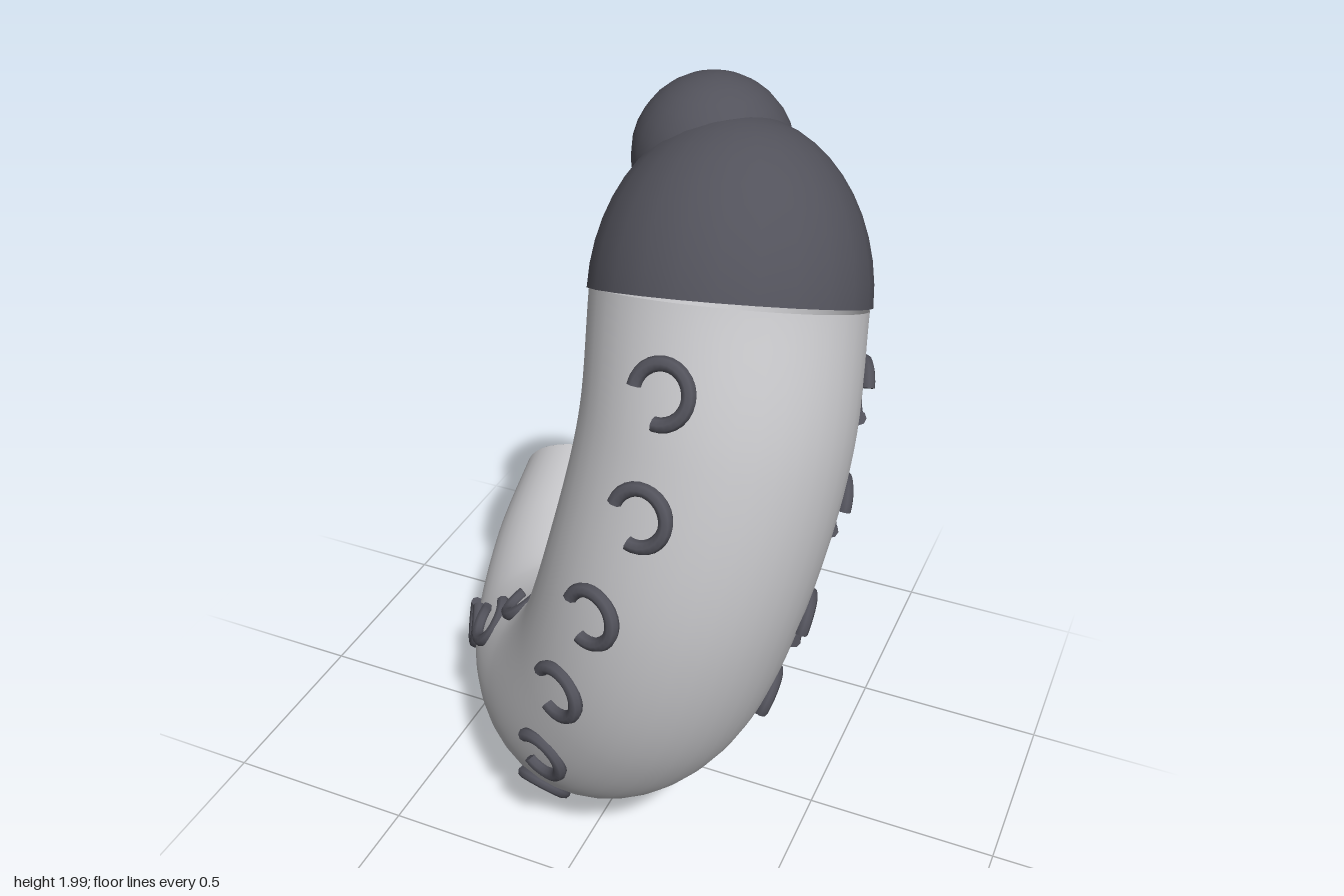
import * as THREE from 'three';

const V = (x, y, z) => new THREE.Vector3(x, y, z);

// Centre line from the cut tail end up to the neck
const axis = new THREE.CatmullRomCurve3([
  V(-0.42, 0.467, -0.565), V(-0.375, 0.345, -0.33), V(-0.25, 0.285, -0.05), V(-0.04, 0.4, 0.2),
  V(0.13, 0.64, 0.32), V(0.235, 0.95, 0.345), V(0.29, 1.3, 0.265), V(0.268, 1.57, 0.15),
]);
const radiusAt = (u) => 0.195 + 0.11 * Math.sin(Math.min(1, u / 0.65) * Math.PI / 2);

// Three rows of hooks, each listed from neck to tail
const rows = {
  front: [[0.26, 1.52, 0.51], [0.25, 1.26, 0.585], [0.15, 1.0, 0.64], [0.05, 0.75, 0.65],
    [-0.025, 0.47, 0.58], [-0.11, 0.195, 0.4], [-0.19, 0.035, 0.1], [-0.24, 0.06, -0.2]],
  left: [[0.58, 1.37, 0.085], [0.585, 1.11, 0.165], [0.53, 0.85, 0.275], [0.43, 0.61, 0.285],
    [0.3, 0.42, 0.175], [0.13, 0.36, 0.01], [0, 0.41, -0.13], [-0.14, 0.5, -0.2]],
  right: [[0.03, 1.35, 0.09], [0.02, 1.17, 0.14], [0.01, 0.97, 0.15], [-0.05, 0.83, 0.1],
    [-0.13, 0.74, 0.13], [-0.27, 0.62, 0.18], [-0.4, 0.47, 0.15], [-0.53, 0.33, 0.03]],
};

// Tube whose rings are rescaled around the centre line
function taperedTube(segments, sides) {
  const geo = new THREE.TubeGeometry(axis, segments, 1, sides);
  const pos = geo.attributes.position;
  const v = V(0, 0, 0);
  for (let i = 0; i <= segments; i++) {
    const c = axis.getPointAt(i / segments);
    const r = radiusAt(i / segments);
    for (let j = 0; j <= sides; j++) {
      const k = i * (sides + 1) + j;
      v.fromBufferAttribute(pos, k).sub(c).multiplyScalar(r).add(c);
      pos.setXYZ(k, v.x, v.y, v.z);
    }
  }
  return geo;
}

// Nearest position along the centre line
function nearest(p) {
  let best = 0;
  let bestD = Infinity;
  for (let i = 0; i <= 300; i++) {
    const d = axis.getPointAt(i / 300).distanceToSquared(p);
    if (d < bestD) { bestD = d; best = i / 300; }
  }
  return best;
}

export function createModel() {
  const group = new THREE.Group();
  const pale = new THREE.MeshStandardMaterial({ color: 0xc6c6c9 });
  pale.name = 'paleGrey';
  pale.side = THREE.DoubleSide;
  const dark = new THREE.MeshStandardMaterial({ color: 0x52525b });
  dark.name = 'darkGrey';

  const add = (name, geo, mat, parent = group) => {
    const mesh = new THREE.Mesh(geo, mat);
    mesh.name = name;
    parent.add(mesh);
    return mesh;
  };

  // Curved body and flat tail end
  add('body', taperedTube(80, 40), pale);
  const tail = add('tailEnd', new THREE.CircleGeometry(radiusAt(0), 40), pale);
  tail.position.copy(axis.getPointAt(0));
  tail.quaternion.setFromUnitVectors(V(0, 0, 1), axis.getTangentAt(0).negate());

  // Domed cap with a flat underside, slightly wider than the body
  const cap = new THREE.Group();
  cap.name = 'cap';
  cap.position.copy(axis.getPointAt(1));
  cap.quaternion.setFromUnitVectors(V(0, 1, 0), V(-0.1, 0.9, -0.41).normalize());
  group.add(cap);
  const dome = new THREE.SphereGeometry(1, 24, 12, 0, Math.PI * 2, 0, Math.PI / 2);
  add('capDome', dome.scale(0.311, 0.393, 0.311), dark, cap);
  add('capUnderside', new THREE.CircleGeometry(0.311, 24).rotateX(Math.PI / 2), dark, cap);

  // Ball on the back of the cap
  add('ball', new THREE.SphereGeometry(0.181, 24, 16), dark).position.set(0.16, 1.819, -0.013);

  // Open rings lying on the surface, turned to follow the body
  const hook = new THREE.TorusGeometry(0.063, 0.0165, 8, 20, Math.PI * 1.5);
  const hookEnd = new THREE.CircleGeometry(0.0165, 8);
  const turn = THREE.MathUtils.degToRad(10);
  for (const [name, points] of Object.entries(rows)) {
    const row = new THREE.Group();
    row.name = name + 'HookRow';
    group.add(row);
    for (const p of points) {
      const target = V(...p);
      const u = nearest(target);
      const c = axis.getPointAt(u);
      const down = axis.getTangentAt(u).negate();
      const out = target.sub(c);
      out.addScaledVector(down, -out.dot(down)).normalize();
      const side = out.clone().cross(down);
      const x = down.clone().multiplyScalar(Math.cos(turn)).addScaledVector(side, -Math.sin(turn));
      const ring = add('hook', hook, dark, row);
      ring.quaternion.setFromRotationMatrix(new THREE.Matrix4().makeBasis(x, out.clone().cross(x), out));
      ring.position.copy(c).addScaledVector(out, radiusAt(u) + 0.003);
      // Flat ends of the ring
      const start = add('hookEnd', hookEnd, dark, ring);
      start.position.x = 0.063;
      start.rotation.x = Math.PI / 2;
      const finish = add('hookEnd', hookEnd, dark, ring);
      finish.position.y = -0.063;
      finish.rotation.y = Math.PI / 2;
    }
  }
  return group;
}
